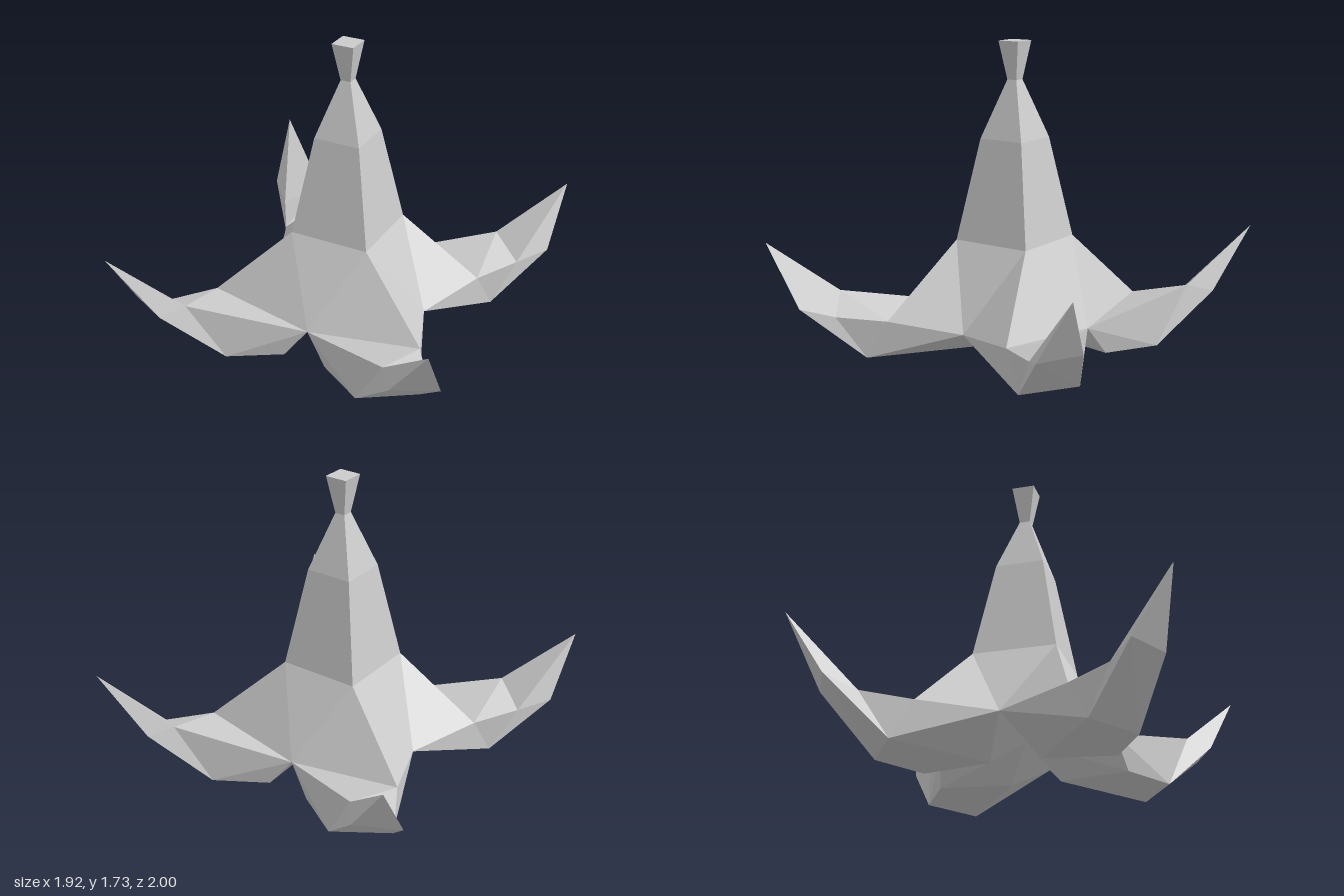
import * as THREE from 'three';

const material = new THREE.MeshStandardMaterial({ color: 0xcccccc, flatShading: true });

// Builds one quarter (+x, +z) from convex faces, mirrored to the given quadrant
function quarter(name, faces, sx, sz) {
  const pos = [];
  for (const face of faces) {
    const f = sx * sz < 0 ? [face[0], ...face.slice(1).reverse()] : face;
    for (let i = 1; i < f.length - 1; i++) {
      for (const [x, y, z] of [f[0], f[i], f[i + 1]]) pos.push(x * sx, y, z * sz);
    }
  }
  const geo = new THREE.BufferGeometry();
  geo.setAttribute('position', new THREE.Float32BufferAttribute(pos, 3));
  geo.computeVertexNormals();
  const mesh = new THREE.Mesh(geo, material);
  mesh.name = name;
  return mesh;
}

// Leg points: tip, then front/side pairs going inwards
const tip = [0.96, 0.64, 1.0];
const ridgeFront = [0.61, 0.325, 0.78], ridgeSide = [0.8, 0.235, 0.645];
const heelFront = [0.7, 0.29, 0.9], heelSide = [0.94, 0.29, 0.78];
const footFront = [0.41, 0, 0.7], footSide = [0.7, 0, 0.51];
const soleFront = [0.13, 0, 0.53], soleInner = [0.2, 0, 0.14];

// Points shared by legs and skirt
const valleyFront = [0, 0.17, 0.49], valleySide = [0.49, 0.17, 0];
const shoulder = [0.65, 0.215, 0.4], belly = [0, 0.17, 0];

const legFaces = [
  // top
  [tip, ridgeSide, ridgeFront],
  [ridgeFront, ridgeSide, shoulder, valleyFront],
  // side
  [ridgeSide, tip, heelSide],
  [ridgeSide, heelSide, footSide, shoulder],
  [shoulder, footSide, valleySide],
  // front
  [tip, ridgeFront, heelFront],
  [ridgeFront, valleyFront, footFront, heelFront],
  // outer end
  [tip, heelFront, heelSide],
  [heelSide, heelFront, footFront, footSide],
  // sole and underside
  [footSide, footFront, soleFront, soleInner],
  [footFront, valleyFront, soleFront],
  [valleySide, footSide, soleInner],
  [soleFront, valleyFront, belly, soleInner],
  [valleySide, soleInner, belly],
];

// Square spire rings: [half width, height]
const rings = [[0.235, 0.62], [0.137, 1.19], [0.03, 1.515], [0.065, 1.73]]
  .map(([r, y]) => ({ front: [0, y, r], corner: [r, y, r], side: [r, y, 0] }));

const spireFaces = [];
for (let i = 0; i < rings.length - 1; i++) {
  const a = rings[i], b = rings[i + 1];
  spireFaces.push([a.front, a.corner, b.corner, b.front], [a.corner, a.side, b.side, b.corner]);
}
const top = rings[rings.length - 1];
spireFaces.push([top.front, top.corner, top.side, [0, top.front[1], 0]]);

// Skirt flaring from the spire to the legs
const base = rings[0];
const skirtFaces = [
  [valleyFront, shoulder, base.corner],
  [valleyFront, base.corner, base.front],
  [shoulder, valleySide, base.corner],
  [base.corner, valleySide, base.side],
];

export function createModel() {
  const model = new THREE.Group();
  model.name = 'fourLeggedSpire';
  for (const sx of [1, -1]) {
    for (const sz of [1, -1]) {
      const where = (sz > 0 ? 'Front' : 'Back') + (sx > 0 ? 'Left' : 'Right');
      model.add(
        quarter('leg' + where, legFaces, sx, sz),
        quarter('skirt' + where, skirtFaces, sx, sz),
        quarter('spire' + where, spireFaces, sx, sz),
      );
    }
  }
  return model;
}
